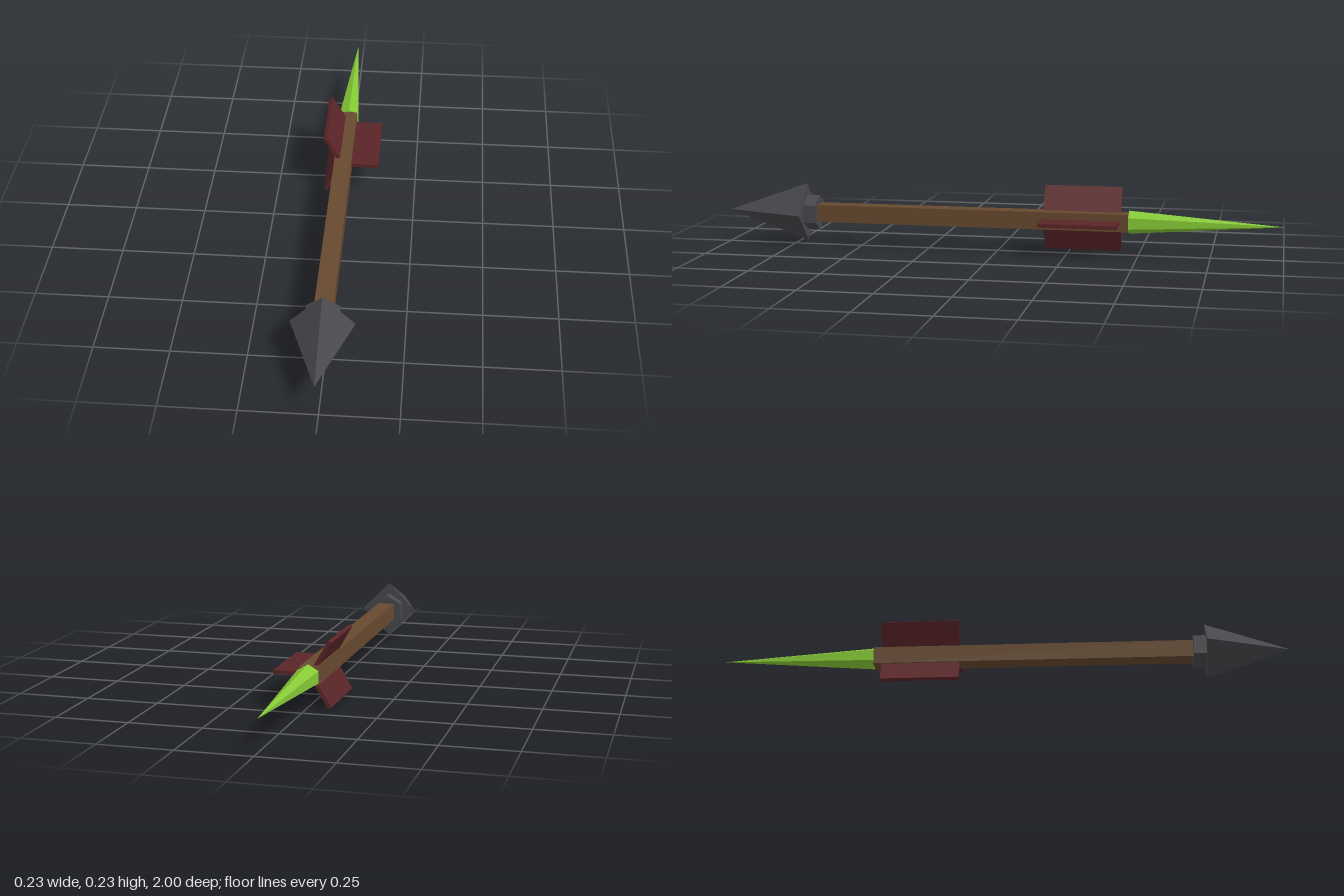
import * as THREE from 'three';

export function createModel() {
  const model = new THREE.Group();
  const material = (name, color) => {
    const m = new THREE.MeshStandardMaterial({ color, flatShading: true });
    m.name = name;
    return m;
  };
  const wood = material('brown wood', 0x66492f);
  const metal = material('dark grey metal', 0x47474c);
  const feather = material('dark red feather', 0x5a2427);
  const leaf = material('bright green', 0x86c936);

  // Everything sits around one axis running along z
  const arrow = new THREE.Group();
  arrow.name = 'arrow';
  arrow.position.set(-0.012, 0.115, 0);
  model.add(arrow);

  const add = (name, geometry, mat) => {
    const mesh = new THREE.Mesh(geometry, mat);
    mesh.name = name;
    arrow.add(mesh);
    return mesh;
  };
  // Prism or cone along z with a corner pointing straight up
  const spindle = (rBack, rFront, zBack, zFront, sides) =>
    new THREE.CylinderGeometry(rFront, rBack, zFront - zBack, sides)
      .rotateX(Math.PI / 2)
      .translate(0, 0, (zBack + zFront) / 2);

  // Square shaft
  add('shaft', new THREE.BoxGeometry(0.062, 0.062, 1.15).translate(0, 0, 0.11), wood);

  // Four-sided head and hexagonal collar
  add('head', spindle(0.105, 0, 0.705, 1, 4), metal);
  add('collar', spindle(0.063, 0.063, 0.66, 0.71, 6), metal);

  // Long hexagonal spike at the tail
  add('tailSpike', spindle(0, 0.041, -1, -0.465, 6), leaf);

  // Three flat fins, evenly spaced
  for (let i = 0; i < 3; i++) {
    const fin = add(`fin${i + 1}`,
      new THREE.BoxGeometry(0.119, 0.013, 0.275).translate(0.0695, 0, -0.2975), feather);
    fin.rotation.z = (i * Math.PI * 2) / 3;
  }
  return model;
}
